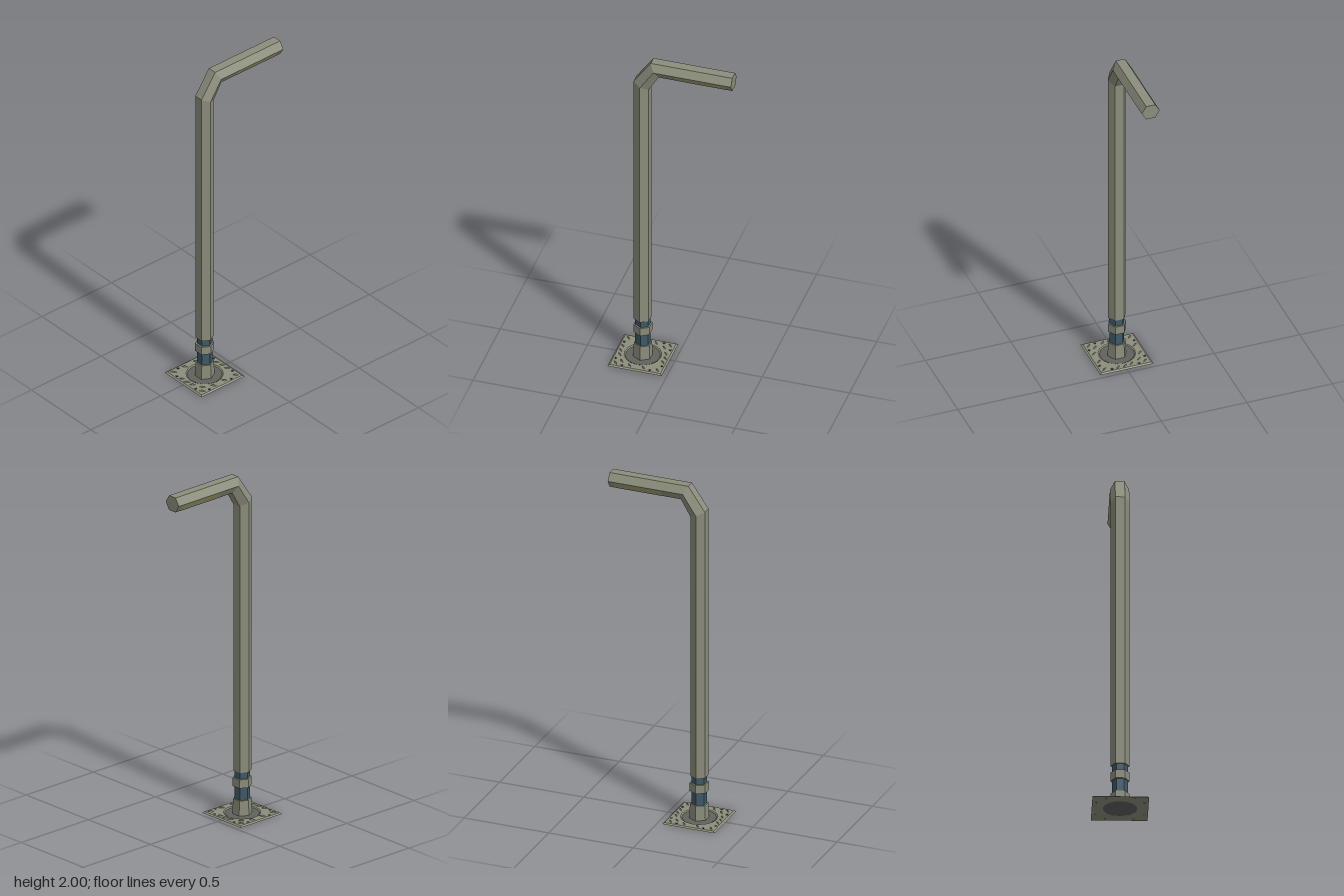
import * as THREE from 'three';

const mat = (color) => new THREE.MeshStandardMaterial({ color, flatShading: true });
const PX = -0.183; // x of the pole axis

// Hexagonal tube lofted through stations of [outerX, outerY, innerX, innerY]
function hexLoft(stations, r, faces = [0, 1, 2, 3, 4, 5]) {
  const rings = stations.map(([ox, oy, ix, iy]) => {
    const mx = (ox + ix) / 2, my = (oy + iy) / 2;
    return [[ox, oy, -r / 2], [ox, oy, r / 2], [mx, my, r], [ix, iy, r / 2], [ix, iy, -r / 2], [mx, my, -r]];
  });
  const pos = [];
  const tri = (a, b, c) => pos.push(...a, ...b, ...c);
  for (let s = 0; s < rings.length - 1; s++) {
    const a = rings[s], b = rings[s + 1];
    for (const i of faces) {
      const j = (i + 1) % 6;
      tri(a[i], a[j], b[j]);
      tri(a[i], b[j], b[i]);
    }
  }
  const first = rings[0], last = rings[rings.length - 1];
  if (faces.length === 6) {
    for (let i = 1; i < 5; i++) {
      tri(last[0], last[i], last[i + 1]);
      tri(first[0], first[i + 1], first[i]);
    }
  }
  const g = new THREE.BufferGeometry();
  g.setAttribute('position', new THREE.Float32BufferAttribute(pos, 3));
  g.computeVertexNormals();
  return g;
}

export function createModel() {
  const model = new THREE.Group();
  model.name = 'lampPost';
  const paint = mat(0x8c8e7c), blue = mat(0x3f5a68), dark = mat(0x60635e), black = mat(0x2c2f30), lampMat = mat(0x9a9a72);

  const add = (parent, name, geometry, material, x = 0, y = 0, z = 0) => {
    const m = new THREE.Mesh(geometry, material);
    m.name = name;
    m.position.set(x, y, z);
    parent.add(m);
    return m;
  };
  const ring = (name, y0, y1, rTop, rBottom, material) =>
    add(model, name, new THREE.CylinderGeometry(rTop, rBottom, y1 - y0, 6), material, PX, (y0 + y1) / 2, 0);

  // Pole, bend and arm in one run
  add(model, 'poleAndArm', hexLoft([
    [-0.228, 0.255, -0.142, 0.255],
    [-0.228, 1.86, -0.142, 1.82],
    [-0.13, 2.0, -0.085, 1.915],
    [0.337, 2.0, 0.337, 1.915],
  ], 0.0525), paint);

  // Lamp panel wrapped on the lower faces of the arm
  add(model, 'lampPanel', hexLoft([
    [0.02, 2.0, 0.02, 1.9145],
    [0.3, 2.0, 0.3, 1.9145],
  ], 0.053, [2, 3, 4]), lampMat);

  // Foot of the pole
  ring('footSleeve', 0.002, 0.09, 0.051, 0.055, paint);
  ring('blueNeck', 0.085, 0.257, 0.043, 0.043, blue);
  ring('collar', 0.165, 0.215, 0.053, 0.053, paint);

  // Base plate, with sloped edges and a round recess
  const base = new THREE.Group();
  base.name = 'base';
  base.position.x = PX;
  model.add(base);
  const H = 0.007, S = 0.155;
  const bolts = [];
  for (const sx of [-1, 1]) for (const sz of [-1, 1]) {
    bolts.push([sx * 0.079, sz * 0.132], [sx * 0.132, sz * 0.079]);
  }
  const shape = new THREE.Shape([[-S, -S], [S, -S], [S, S], [-S, S]].map(([x, y]) => new THREE.Vector2(x, y)));
  const circleHole = (x, y, r, n) => {
    const pts = [];
    for (let i = 0; i < n; i++) {
      const a = -i / n * Math.PI * 2;
      pts.push(new THREE.Vector2(x + r * Math.cos(a), y + r * Math.sin(a)));
    }
    shape.holes.push(new THREE.Path(pts));
  };
  circleHole(0, 0, 0.103, 16);
  bolts.forEach(([x, z]) => circleHole(x, z, 0.008, 8));
  const plate = new THREE.ExtrudeGeometry(shape, { depth: H, bevelEnabled: false });
  plate.rotateX(-Math.PI / 2);
  const p = plate.attributes.position;
  for (let i = 0; i < p.count; i++) {
    const x = p.getX(i), z = p.getZ(i), top = p.getY(i) > H / 2;
    let k = 1;
    if (top && Math.abs(x) > 0.15 && Math.abs(z) > 0.15) k = 0.145 / S;
    if (!top && Math.abs(Math.hypot(x, z) - 0.103) < 0.002) k = 0.92;
    p.setX(i, x * k);
    p.setZ(i, z * k);
  }
  plate.computeVertexNormals();
  add(base, 'basePlate', plate, paint);
  add(base, 'recessFloor', new THREE.CylinderGeometry(0.096, 0.095, 0.002, 16, 1, false, Math.PI / 2), dark, 0, 0.0015, 0);

  // Sunken bolts
  for (const [x, z] of bolts) {
    add(base, 'boltSeat', new THREE.CylinderGeometry(0.008, 0.008, 0.004, 8), dark, x, 0.0025, z);
    add(base, 'boltHead', new THREE.CylinderGeometry(0.004, 0.005, 0.003, 6), black, x, 0.0055, z);
  }

  // Raised diamond treads: low four-sided pyramids set diagonally
  const tread = new THREE.ConeGeometry(1, 1, 4);
  tread.scale(0.005, 0.007, 0.019);
  tread.rotateY(Math.PI / 4 - 0.08);
  tread.translate(0, 0.0035, 0);
  const half = [
    [-0.12, -0.12], [-0.04, -0.12], [0.039, -0.12], [0.119, -0.12],
    [0.093, -0.093], [-0.127, -0.041], [-0.127, 0], [-0.12, 0.039],
  ];
  for (const s of [1, -1]) {
    for (const [x, z] of half) add(base, 'tread', tread, paint, s * x, H, s * z);
  }
  return model;
}
